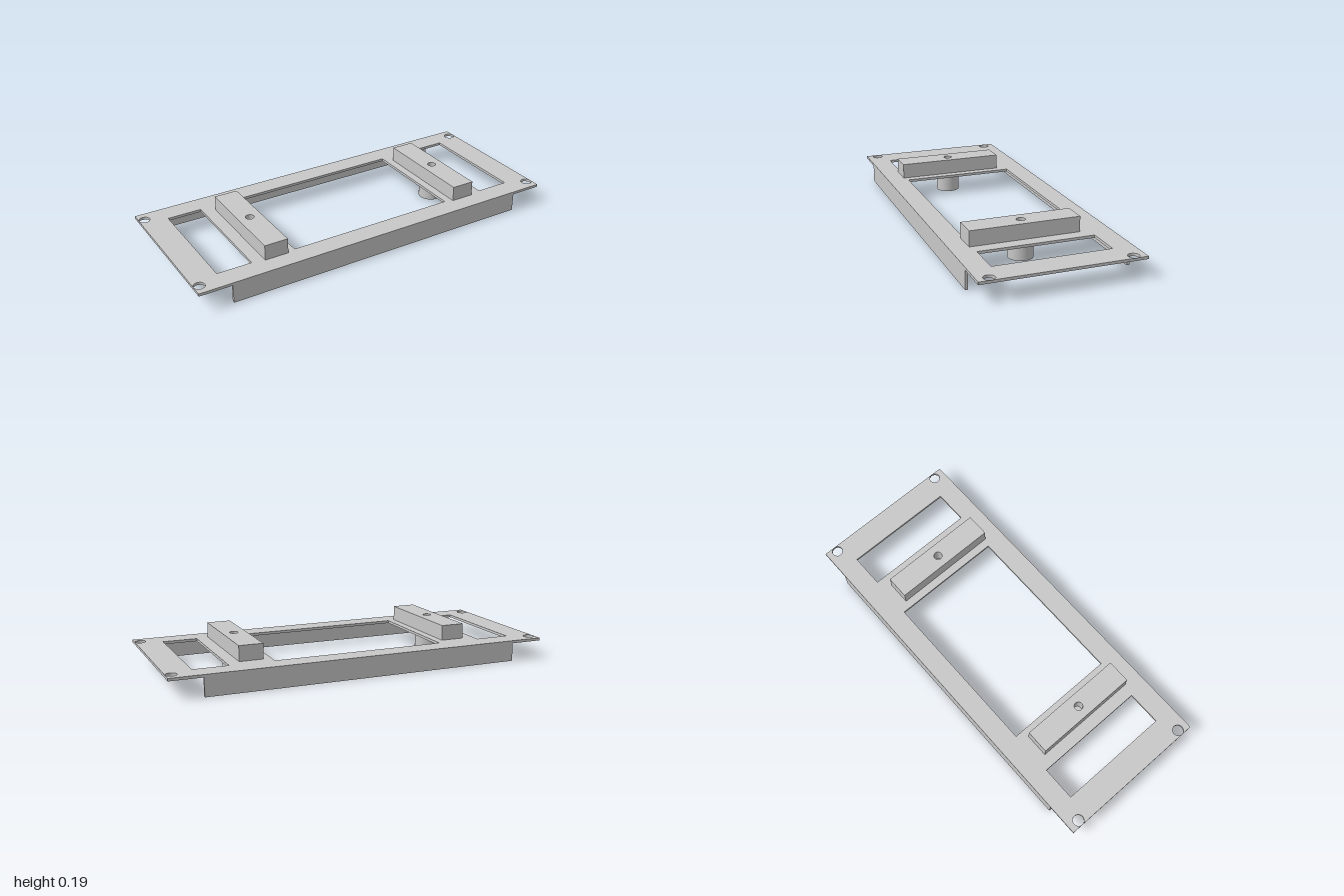
import * as THREE from 'three';

// Rectangular outline centred at (x, z), in plan, counter-clockwise
function rectPoints(x, z, w, d) {
  return [[-1, -1], [1, -1], [1, 1], [-1, 1]].map(
    ([sx, sy]) => new THREE.Vector2(x + sx * w / 2, -z + sy * d / 2));
}

const rectHole = (x, z, w, d) => new THREE.Path(rectPoints(x, z, w, d).reverse());

function roundHole(x, z, r) {
  return new THREE.Path().absarc(x, -z, r, 0, Math.PI * 2, true);
}

// Plan shape with holes, raised from y0 to y1
function slab(x, z, w, d, y0, y1, holes) {
  const shape = new THREE.Shape(rectPoints(x, z, w, d));
  shape.holes.push(...holes);
  const geo = new THREE.ExtrudeGeometry(shape, { depth: y1 - y0, bevelEnabled: false, curveSegments: 24 });
  return geo.rotateX(-Math.PI / 2).translate(0, y0, 0);
}

export function createModel() {
  const group = new THREE.Group();
  const metal = new THREE.MeshStandardMaterial({ color: 0xc8c8c8 });
  metal.name = 'grey metal';

  const add = (name, geo) => {
    const mesh = new THREE.Mesh(geo, metal);
    mesh.name = name;
    group.add(mesh);
    return mesh;
  };

  const plateBottom = 0.095, plateTop = 0.109, blockTop = 0.188;
  const halfDepth = 0.406, flangeThickness = 0.014;

  // Face plate with a central window, two side windows and corner holes
  const holes = [rectHole(0, 0, 0.904, 0.594)];
  for (const s of [-1, 1]) {
    holes.push(rectHole(s * 0.772, 0, 0.18, 0.594));
    for (const t of [-1, 1]) holes.push(roundHole(s * 0.971, t * 0.346, 0.028));
  }
  add('facePlate', slab(0, 0, 2, halfDepth * 2, plateBottom, plateTop, holes));

  // Stiffening flanges hanging from the long edges
  for (const s of [-1, 1]) {
    add(s > 0 ? 'frontFlange' : 'backFlange', new THREE.BoxGeometry(1.664, plateBottom, flangeThickness))
      .position.set(0, plateBottom / 2, s * (halfDepth - flangeThickness / 2));
  }

  // Handle blocks with a blind hole, and the round posts beneath them
  for (const s of [-1, 1]) {
    const side = s > 0 ? 'left' : 'right';
    const x = s * 0.556, z = 0.031;
    add(side + 'Block', slab(x, z, 0.124, 0.562, plateTop, blockTop, [roundHole(x, z, 0.022)]));
    add(side + 'Post', new THREE.CylinderGeometry(0.063, 0.063, plateBottom, 48))
      .position.set(x, plateBottom / 2, z);
  }

  return group;
}
